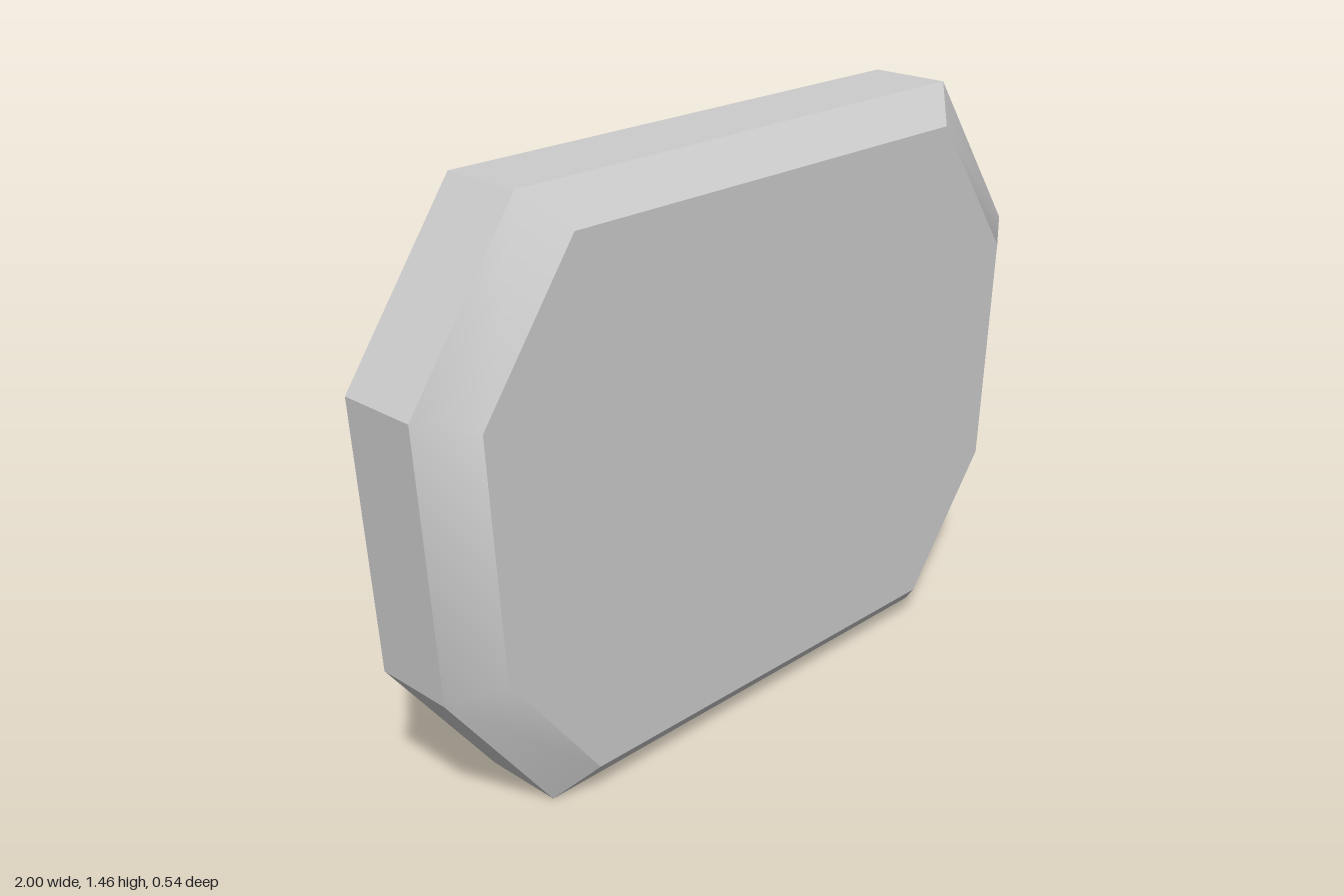
import * as THREE from 'three';
import { toCreasedNormals } from 'three/addons/utils/BufferGeometryUtils.js';

const BACK = -0.02, RIM = 0.19, FRONT = 0.27;

// Mirrors the +x half of an outline (bottom to top), giving a counter-clockwise loop
function mirrored(half) {
  return [...half, ...half.map(([x, y]) => [-x, y]).reverse()];
}

// Joins stacked loops with side walls and caps both ends
function loft(loops) {
  const pos = [];
  const tri = (...points) => points.forEach((p) => pos.push(...p));
  const n = loops[0].length;
  for (let k = 0; k < loops.length - 1; k++) {
    const a = loops[k], b = loops[k + 1];
    for (let i = 0; i < n; i++) {
      const j = (i + 1) % n;
      tri(a[i], a[j], b[j]);
      tri(a[i], b[j], b[i]);
    }
  }
  const first = loops[0], last = loops[loops.length - 1];
  for (let i = 1; i < n - 1; i++) {
    tri(first[0], first[i + 1], first[i]);
    tri(last[0], last[i], last[i + 1]);
  }
  const geo = new THREE.BufferGeometry();
  geo.setAttribute('position', new THREE.Float32BufferAttribute(pos, 3));
  return toCreasedNormals(geo, THREE.MathUtils.degToRad(30));
}

export function createModel() {
  const group = new THREE.Group();
  group.name = 'panel';
  const grey = new THREE.MeshStandardMaterial({ color: 0xcccccc });
  grey.name = 'light grey';

  // Eight-sided plate with a bevelled front edge
  const outer = mirrored([[0.665, 0], [0.957, 0.38], [1, 1.045], [0.707, 1.46]]);
  const inner = mirrored([[0.587, 0.087], [0.845, 0.42], [0.88, 1.01], [0.622, 1.373]]);
  const at = (loop, z) => loop.map(([x, y]) => [x, y, z]);
  const plate = new THREE.Mesh(
    loft([at(outer, BACK), at(outer, RIM), at(inner, FRONT)]), grey);
  plate.name = 'plate';
  group.add(plate);

  // Two square pegs low on the back
  const pegs = [['leftPeg', 0.353, 0.557], ['rightPeg', -0.583, -0.337]];
  for (const [name, x0, x1] of pegs) {
    const peg = new THREE.Mesh(new THREE.BoxGeometry(x1 - x0, 0.208, 0.25), grey);
    peg.position.set((x0 + x1) / 2, 0.336, BACK - 0.125);
    peg.name = name;
    group.add(peg);
  }
  return group;
}
